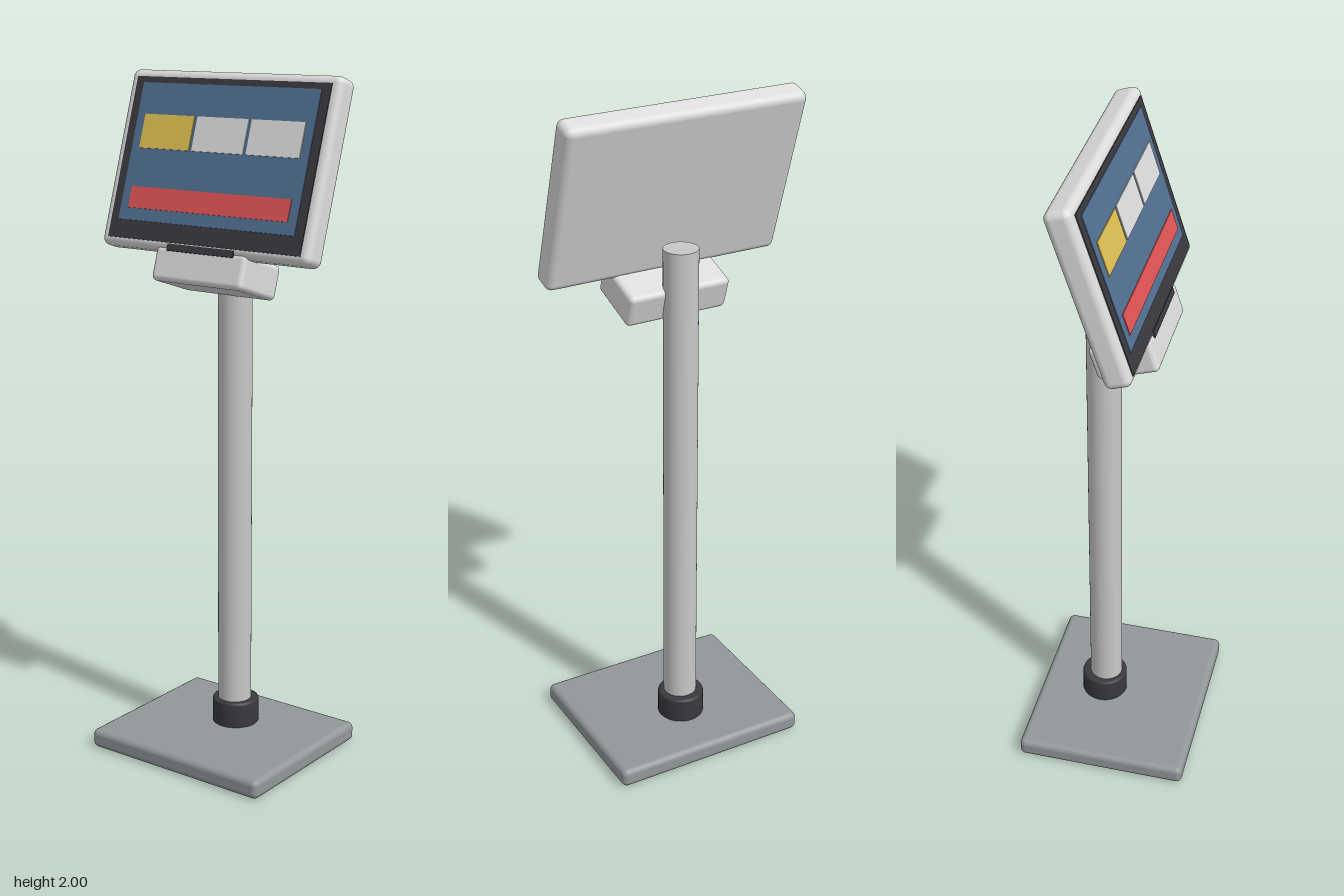
import * as THREE from 'three';
import { RoundedBoxGeometry } from 'three/addons/geometries/RoundedBoxGeometry.js';

const material = (name, color) => {
  const m = new THREE.MeshStandardMaterial({ color });
  m.name = name;
  return m;
};

export function createModel() {
  const shell = material('off white shell', 0xdcdcdc);
  const metal = material('light grey metal', 0xc8c8c8);
  const baseGrey = material('base grey', 0x92979a);
  const dark = material('charcoal', 0x3a393e);
  const blue = material('screen blue', 0x527092);
  const yellow = material('button yellow', 0xdfc052);
  const white = material('button white', 0xdedede);
  const red = material('button red', 0xe25454);

  const model = new THREE.Group();
  model.name = 'touchscreenStand';

  const add = (parent, name, geometry, mat, x, y, z) => {
    const mesh = new THREE.Mesh(geometry, mat);
    mesh.name = name;
    mesh.position.set(x, y, z);
    parent.add(mesh);
    return mesh;
  };

  // Floor plate
  add(model, 'base', new RoundedBoxGeometry(0.61, 0.058, 0.52, 4, 0.018), baseGrey, 0, 0.029, 0);

  // Collar with softened rims, and the pole it holds
  const collarProfile = [
    [0, 0.055], [0.066, 0.055], [0.07, 0.06], [0.07, 0.128], [0.068, 0.133], [0.063, 0.136], [0, 0.136],
  ].map(([r, y]) => new THREE.Vector2(r, y));
  add(model, 'collar', new THREE.LatheGeometry(collarProfile, 40), dark, 0, 0, -0.06);
  add(model, 'pole', new THREE.CylinderGeometry(0.05, 0.05, 1.535, 40), metal, 0, 0.8225, -0.055);

  // Head, tilted back; its parts are placed in the tilted frame
  const head = new THREE.Group();
  head.name = 'head';
  head.position.set(0, 1.749, -0.001);
  head.rotation.x = THREE.MathUtils.degToRad(-18);
  model.add(head);

  add(head, 'housing', new RoundedBoxGeometry(0.724, 0.518, 0.077, 4, 0.022), shell, 0, 0, 0);
  add(head, 'mountBlock', new RoundedBoxGeometry(0.315, 0.1, 0.18, 4, 0.015), shell, 0, -0.296, -0.054);
  add(head, 'slot', new THREE.BoxGeometry(0.23, 0.02, 0.04), dark, 0, -0.25, 0.0205);

  // Thin plates stacked on the front face: x and y ranges, back and front depth
  const plate = (name, mat, x0, x1, y0, y1, back, front) =>
    add(head, name, new THREE.BoxGeometry(x1 - x0, y1 - y0, front - back), mat,
      (x0 + x1) / 2, (y0 + y1) / 2, (back + front) / 2);

  plate('bezel', dark, -0.334, 0.334, -0.237, 0.234, 0.036, 0.0415);
  plate('screen', blue, -0.306, 0.306, -0.184, 0.216, 0.04, 0.0435);
  [yellow, white, white].forEach((mat, i) => {
    const x = (i - 1) * 0.188;
    plate('button' + (i + 1), mat, x - 0.089, x + 0.089, 0.025, 0.124, 0.042, 0.046);
  });
  plate('wideButton', red, -0.277, 0.277, -0.149, -0.087, 0.042, 0.046);

  return model;
}
